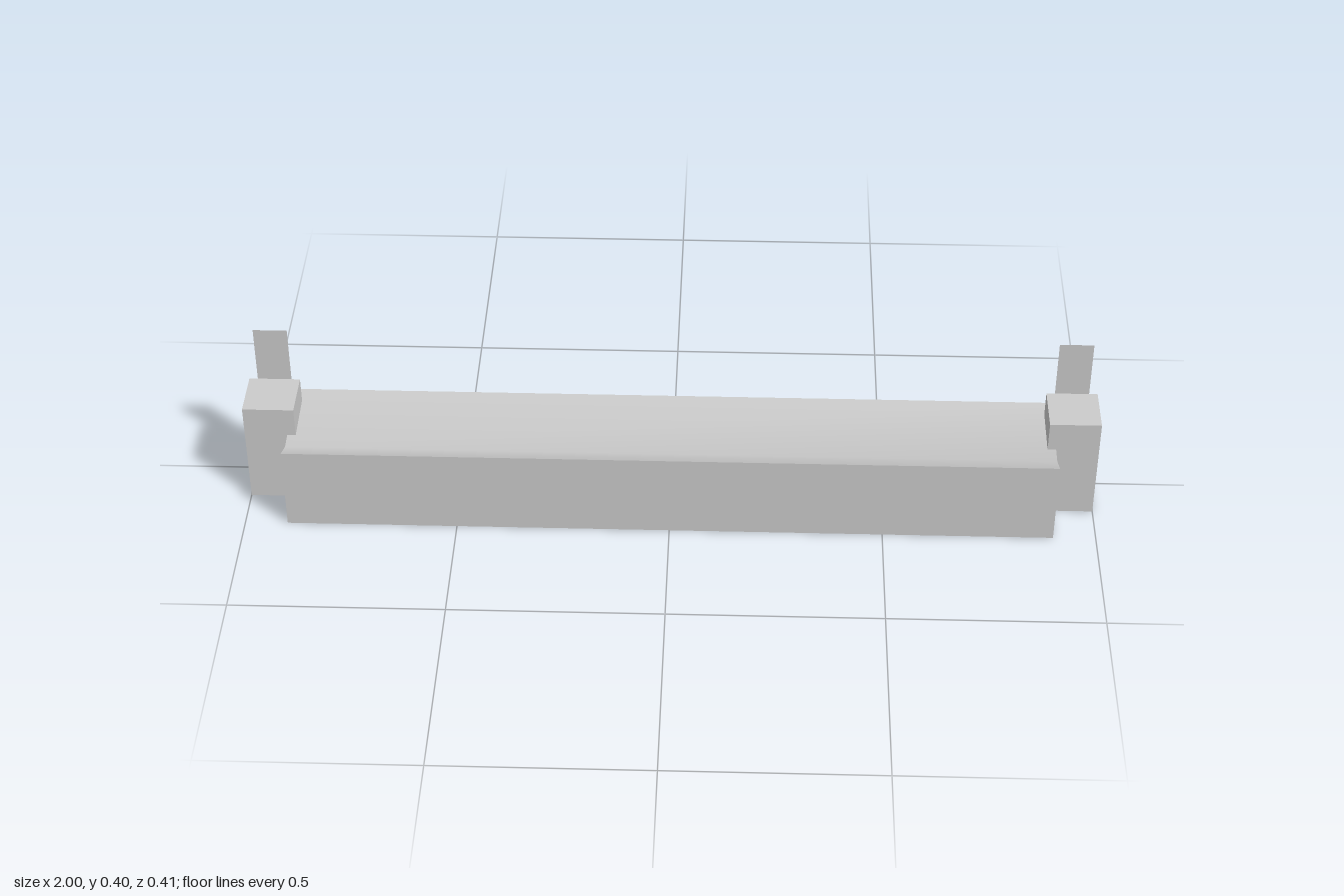
import * as THREE from 'three';
import { toCreasedNormals } from 'three/addons/utils/BufferGeometryUtils.js';

const material = new THREE.MeshStandardMaterial({ color: 0xcccccc, side: THREE.DoubleSide });

function part(name, geometry, parent) {
  const mesh = new THREE.Mesh(geometry, material);
  mesh.name = name;
  parent.add(mesh);
  return mesh;
}

// Sweeps an open line of [z, y] points along x from -half to half
function sweep(points, half) {
  const positions = [];
  for (let i = 0; i < points.length - 1; i++) {
    const [az, ay] = points[i];
    const [bz, by] = points[i + 1];
    positions.push(
      -half, ay, az, half, ay, az, half, by, bz,
      -half, ay, az, half, by, bz, -half, by, bz
    );
  }
  const geometry = new THREE.BufferGeometry();
  geometry.setAttribute('position', new THREE.Float32BufferAttribute(positions, 3));
  return toCreasedNormals(geometry, THREE.MathUtils.degToRad(40));
}

// Box standing on y = 0 with no underside
function openBox(width, height, depth) {
  const geometry = new THREE.BoxGeometry(width, height, depth);
  const index = Array.from(geometry.index.array);
  index.splice(18, 6);
  geometry.setIndex(index);
  geometry.clearGroups();
  return geometry.translate(0, height / 2, 0);
}

export function createModel() {
  const model = new THREE.Group();
  model.name = 'barrier';

  // Long body: front wall, sloping top, rear lip and rear wall, open below
  const profile = [
    [0.205, 0], [0.205, 0.208], [0.145, 0.181], [-0.055, 0.199],
    [-0.105, 0.151], [-0.021, 0.102], [-0.035, 0],
  ];
  const halfBody = 0.9;
  part('body', sweep(profile, halfBody), model);

  // Rear flap: a thin sheet hanging from the lip
  part('rearFlap', sweep([[-0.205, 0.01], [-0.114, 0.152]].reverse(), 0.885), model);

  const endShape = new THREE.Shape(profile.map(([z, y]) => new THREE.Vector2(z, y)));

  for (const side of [1, -1]) {
    const label = side > 0 ? 'left' : 'right';

    // Flat end of the body
    const end = new THREE.ShapeGeometry(endShape).rotateY(-Math.PI / 2);
    part(label + 'BodyEnd', end, model).position.x = side * halfBody;

    // Corner post
    part(label + 'Post', openBox(0.12, 0.258, 0.12), model).position.set(side * 0.94, 0, 0.045);

    // Thin upright tab rising from the back of the post
    const tab = new THREE.PlaneGeometry(0.08, 0.142);
    part(label + 'Tab', tab, model).position.set(side * 0.94, 0.329, -0.015);
  }

  return model;
}
